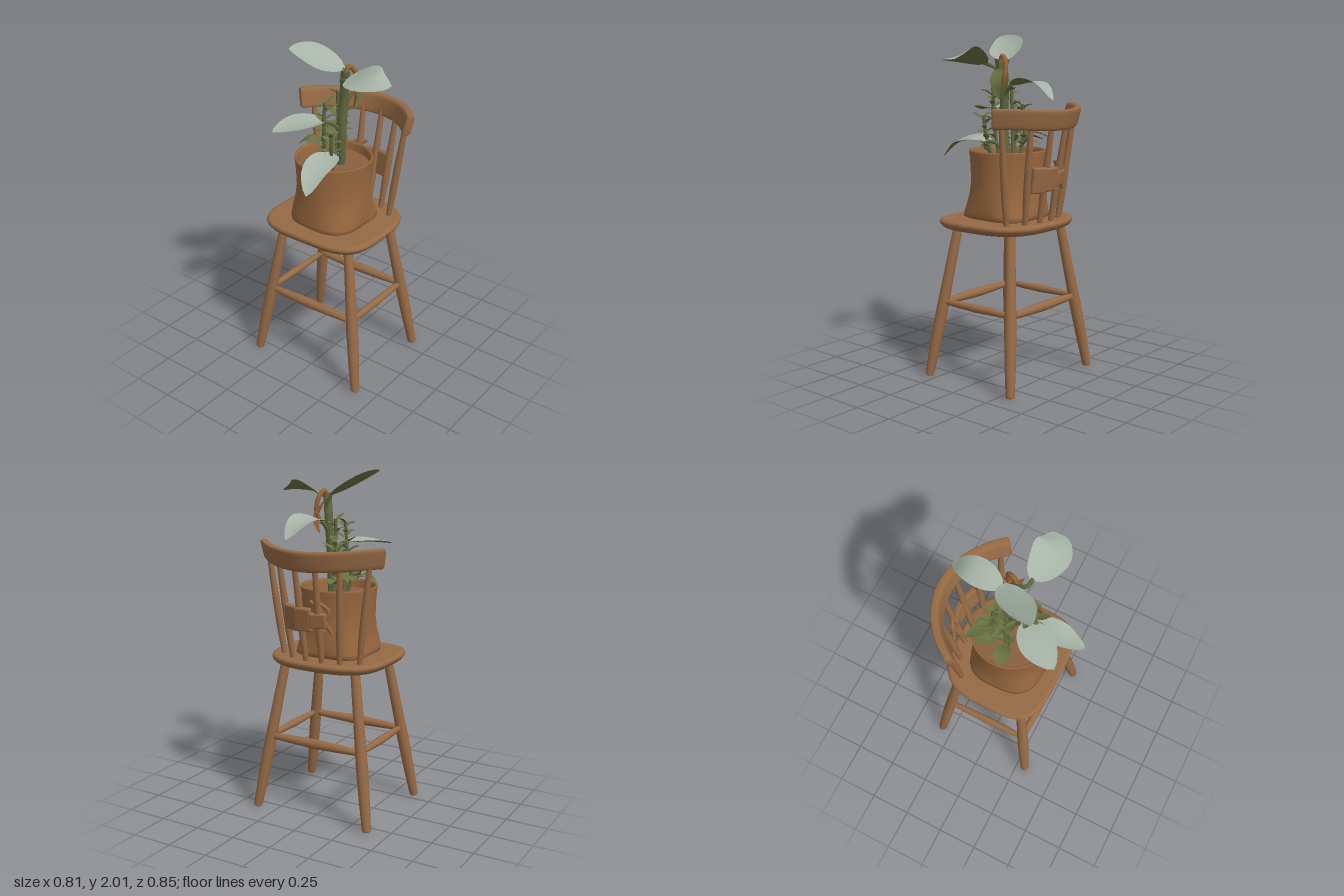
import * as THREE from 'three';
import { RoundedBoxGeometry } from 'three/addons/geometries/RoundedBoxGeometry.js';

const mat = (name, color) => {
  const m = new THREE.MeshStandardMaterial({ color });
  m.name = name;
  return m;
};
const V = (a) => new THREE.Vector3(...a);
const curve = (pts) => new THREE.CatmullRomCurve3(pts.map(V));
const spow = (c, e) => Math.sign(c) * Math.abs(c) ** e;

// Smooth grid surface from fn(u, v); it faces along dP/du x dP/dv
function grid(nu, nv, fn) {
  const pos = [], idx = [];
  for (let j = 0; j <= nv; j++)
    for (let i = 0; i <= nu; i++) pos.push(...fn(i / nu, j / nv, j));
  for (let j = 0; j < nv; j++)
    for (let i = 0; i < nu; i++) {
      const a = j * (nu + 1) + i, b = a + nu + 1;
      idx.push(a, a + 1, b, a + 1, b + 1, b);
    }
  const g = new THREE.BufferGeometry();
  g.setAttribute('position', new THREE.Float32BufferAttribute(pos, 3));
  g.setIndex(idx);
  g.computeVertexNormals();
  return g;
}

// Turned rod from a to b; profile is [fraction, radius]
function rod(a, b, profile) {
  const A = V(a), d = V(b).sub(A), len = d.length();
  const pts = profile.map(([t, r]) => new THREE.Vector2(r, t * len));
  const g = new THREE.LatheGeometry(pts, 16);
  g.applyQuaternion(new THREE.Quaternion().setFromUnitVectors(V([0, 1, 0]), d.normalize()));
  return g.translate(A.x, A.y, A.z);
}

// Thin leaf along a path: group 0 is the upper face, group 1 the underside
function leafGeometry(path, width, normal, cup = 0.15, n = 14) {
  const c = curve(path), N0 = V(normal).normalize();
  const layer = (flip, off) => grid(8, n, (u, v) => {
    const T = c.getTangent(v), side = T.clone().cross(N0).normalize();
    const N = side.clone().cross(T);
    const w = width * 0.5 * Math.max(Math.sin(Math.PI * v ** 0.85), 0) ** 0.7;
    const k = flip * (u * 2 - 1);
    return c.getPoint(v).addScaledVector(side, k * w)
      .addScaledVector(N, off + cup * w * (k * k - 0.4)).toArray();
  });
  const top = layer(1, 0.002), under = layer(-1, -0.002);
  const g = new THREE.BufferGeometry();
  for (const key of ['position', 'normal'])
    g.setAttribute(key, new THREE.Float32BufferAttribute(
      [...top.attributes[key].array, ...under.attributes[key].array], 3));
  const count = top.attributes.position.count, ti = [...top.index.array];
  g.setIndex([...ti, ...[...under.index.array].map((i) => i + count)]);
  g.addGroup(0, ti.length, 0);
  g.addGroup(ti.length, ti.length, 1);
  return g;
}

export function createModel() {
  const wood = mat('wood', 0x966a45), clay = mat('pot brown', 0x99683f), soil = mat('soil', 0x8a6040);
  const pale = mat('pale leaf', 0xa6b3a6), olive = mat('olive leaf', 0x697041);
  const stemGreen = mat('stem green', 0x5f6840), rust = mat('rust bud', 0x9a6438);
  const model = new THREE.Group();
  const chair = new THREE.Group(), plant = new THREE.Group();
  chair.name = 'chair';
  plant.name = 'pottedPlant';
  model.add(chair, plant);
  const add = (parent, name, geo, material) => {
    const m = new THREE.Mesh(geo, material);
    m.name = name;
    parent.add(m);
    return m;
  };

  // Seat: rounded slab, rounder at the back
  const seatRings = [[0, 0.89], [0.88, 0.89], [0.9, 0.891], [0.95, 0.9], [0.99, 0.918], [1, 0.93],
    [0.985, 0.941], [0.95, 0.946], [0.93, 0.946], [0, 0.944]];
  add(chair, 'seat', grid(72, seatRings.length - 1, (u, v, j) => {
    const [s, y] = seatRings[j], a = u * Math.PI * 2, c = Math.cos(a), z = -Math.sin(a);
    const e = 2 / (z > 0 ? 3.8 : 2.9);
    return [0.361 * s * spow(c, e), y, 0.33 * s * spow(z, e)];
  }), wood);
  add(chair, 'seatPeg', new THREE.CylinderGeometry(0.014, 0.01, 0.03, 10).translate(0, 0.88, 0.02), wood);

  // Splayed legs
  const legProfile = [[0, 0], [0, 0.02], [0.008, 0.026], [0.2, 0.032], [0.42, 0.035], [0.6, 0.032], [1, 0.027], [1, 0]];
  for (const sx of [-1, 1])
    for (const [name, z0, z1] of [['frontLeg', 0.305, 0.19], ['backLeg', -0.318, -0.205]])
      add(chair, name, rod([sx * 0.374, 0, z0], [sx * 0.232, 0.9, z1], legProfile), wood);

  // Four stretchers, thicker in the middle
  const bar = (r) => [[0, 0], [0, r * 0.6], [0.2, r * 0.8], [0.5, r], [0.8, r * 0.8], [1, r * 0.6], [1, 0]];
  for (const z of [0.247, -0.262])
    add(chair, 'crossStretcher', rod([-0.3, 0.444, z], [0.3, 0.444, z], bar(0.029)), wood);
  for (const x of [-0.303, 0.303])
    add(chair, 'sideStretcher', rod([x, 0.448, -0.26], [x, 0.448, 0.245], bar(0.024)), wood);

  // Curved top rail
  const railPath = curve([[-0.378, 1.55, -0.152], [-0.29, 1.548, -0.262], [-0.165, 1.54, -0.352], [0, 1.535, -0.392],
    [0.165, 1.54, -0.355], [0.285, 1.548, -0.275], [0.37, 1.55, -0.185]]);
  add(chair, 'topRail', grid(32, 40, (u, v, j) => {
    const s = j % 40 === 0 ? 0 : j === 1 || j === 39 ? 0.86 : 1;
    const t = j <= 1 ? 0 : j >= 39 ? 1 : THREE.MathUtils.clamp((j - 1.7) / 36.6, 0.008, 0.992);
    const p = railPath.getPoint(t), T = railPath.getTangent(t);
    const out = new THREE.Vector3(T.z, 0, -T.x).normalize(), a = u * Math.PI * 2;
    const b = spow(Math.sin(a), 0.42) * s;
    p.addScaledVector(out, 0.024 * s * spow(Math.cos(a), 0.42) + 0.014 * b);
    p.y += 0.058 * b;
    return p.toArray();
  }), wood);

  // Back spindles
  const spindle = [[0, 0.015], [0.3, 0.021], [0.55, 0.021], [1, 0.015]];
  for (const sx of [-1, 1])
    for (const [x0, z0, x1, z1] of [[0.25, -0.188, 0.325, -0.217], [0.155, -0.245, 0.195, -0.318], [0.052, -0.27, 0.066, -0.365]])
      add(chair, 'spindle', rod([sx * x0, 0.935, z0], [sx * x1, 1.51, z1], spindle), wood);

  // Worn bracket wedged between the middle spindles
  for (const [x, z, ry, h] of [[-0.06, -0.322, 0.2, 0.09], [0.03, -0.328, 0, 0.14], [0.115, -0.312, -0.3, 0.15]]) {
    const b = add(chair, 'backBracket', new RoundedBoxGeometry(0.1, h, 0.035, 2, 0.012), wood);
    b.position.set(x, 1.2, z);
    b.rotation.set(-0.15, ry, 0);
  }
  for (const x of [-0.1, -0.05])
    add(chair, 'bracketTwig', new THREE.TubeGeometry(curve([[x - 0.03, 1.13, -0.29], [x, 1.2, -0.31],
      [x - 0.02, 1.25, -0.3], [x + 0.04, 1.31, -0.33]]), 12, 0.011, 6), wood);

  // Soft pot: round at the rim, squarish with folds at the base
  const potRings = [[0, 0.945], [0.22, 0.945], [0.238, 0.955], [0.236, 0.98], [0.228, 1.03], [0.22, 1.09], [0.215, 1.16],
    [0.217, 1.24], [0.221, 1.3], [0.226, 1.335], [0.224, 1.344], [0.214, 1.344], [0.209, 1.33], [0.203, 1.27]];
  add(plant, 'pot', grid(64, potRings.length - 1, (u, v, j) => {
    const [r, y] = potRings[j], a = u * Math.PI * 2;
    const k = Math.max(0, 1 - (y - 0.945) / 0.2);
    const fold = k * (0.07 * -Math.cos(4 * a) + 0.03 * Math.sin(3 * a + 5 * k)) * Math.min(1, r * 5);
    const R = r * (1 + fold) + 0.003 * Math.sin(3 * a + 1);
    return [r && R * Math.cos(a) - 0.003, y, 0.014 - (r && R * Math.sin(a))];
  }), clay);
  add(plant, 'soil', new THREE.CircleGeometry(0.212, 32).rotateX(-Math.PI / 2).translate(-0.003, 1.29, 0.014), soil);

  // Stems and leaf stalks
  const stem = (pts, r, name = 'stem') =>
    add(plant, name, new THREE.TubeGeometry(curve(pts), 20, r, 8), stemGreen);
  stem([[0.03, 1.28, -0.01], [0.045, 1.5, 0], [0.05, 1.7, -0.01], [0.075, 1.87, 0.01]], 0.025, 'mainStem');
  stem([[0.07, 1.8, 0.0], [0.085, 1.83, 0.06], [0.13, 1.845, 0.07]], 0.011, 'leafStalk');
  stem([[0.06, 1.75, 0], [0.055, 1.82, -0.02], [0.03, 1.865, -0.02]], 0.011, 'leafStalk');
  stem([[0.05, 1.6, 0], [0.06, 1.69, -0.04], [0.07, 1.722, -0.08]], 0.011, 'leafStalk');
  stem([[0.04, 1.5, 0], [0.02, 1.56, 0.06], [0.0, 1.585, 0.11]], 0.011, 'leafStalk');
  stem([[0.04, 1.33, 0], [0.05, 1.38, 0.05], [0.06, 1.39, 0.1]], 0.011, 'leafStalk');

  // Large pale leaves: path, width, normal
  for (const [path, w, n] of [
    [[[0.115, 1.84, 0.06], [0.25, 1.885, 0.095], [0.34, 1.89, 0.09], [0.405, 1.868, 0.05]], 0.22, [-0.1, 1, 0.4]],
    [[[0.04, 1.862, -0.035], [-0.045, 1.915, 0.045], [-0.105, 1.955, 0.115], [-0.165, 1.995, 0.2]], 0.21, [0.55, 0.83, 0]],
    [[[0.06, 1.72, -0.07], [0.068, 1.748, -0.18], [0.08, 1.735, -0.29], [0.1, 1.645, -0.395]], 0.16, [-0.15, 1, 0]],
    [[[0.0, 1.585, 0.09], [-0.07, 1.588, 0.18], [-0.12, 1.578, 0.26], [-0.17, 1.558, 0.35]], 0.2, [0, 1, 0.05]],
    [[[0.06, 1.39, 0.08], [0.075, 1.405, 0.2], [0.09, 1.375, 0.32], [0.115, 1.28, 0.42]], 0.16, [0.15, 1, 0]],
  ]) add(plant, 'largeLeaf', leafGeometry(path, w, n), [pale, olive]);

  // Medium olive leaves near the rim
  for (const [path, w, n] of [
    [[[-0.02, 1.42, -0.07], [-0.08, 1.45, -0.11], [-0.175, 1.41, -0.19]], 0.09, [0, 1, 0]],
    [[[-0.04, 1.39, -0.03], [-0.12, 1.42, -0.07], [-0.17, 1.4, -0.13]], 0.08, [-0.2, 1, 0.1]],
    [[[-0.1, 1.39, 0.02], [-0.17, 1.41, 0.04], [-0.225, 1.37, 0.055]], 0.1, [0, 1, 0]],
    [[[-0.02, 1.36, -0.06], [-0.04, 1.4, -0.12], [-0.06, 1.38, -0.19]], 0.07, [0, 1, 0]],
  ]) add(plant, 'oliveLeaf', leafGeometry(path, w, n), [olive, olive]);

  // Young rust-tinted leaf and curled bud at the top
  add(plant, 'youngLeaf', leafGeometry([[0.085, 1.82, -0.02], [0.12, 1.74, -0.035], [0.11, 1.64, -0.02]], 0.11, [1, 0.2, -0.4], 0.4), [olive, rust]);
  add(plant, 'curledBud', new THREE.TubeGeometry(curve([[0.075, 1.84, 0], [0.075, 1.885, -0.015], [0.09, 1.86, -0.05],
    [0.105, 1.78, -0.06], [0.1, 1.72, -0.04]]), 20, 0.014, 8), rust);

  // Bushy shoots with small leaves spiralling up
  let seed = 7;
  const rand = () => (seed = (seed * 16807) % 2147483647) / 2147483647;
  for (const [pts, n] of [
    [[[0.0, 1.28, 0.07], [0.0, 1.5, 0.11], [0.01, 1.7, 0.11]], 16],
    [[[0.04, 1.28, 0.08], [0.06, 1.42, 0.12], [0.07, 1.54, 0.13]], 10],
    [[[-0.03, 1.28, -0.05], [-0.05, 1.45, -0.08], [-0.03, 1.61, -0.08]], 14],
    [[[-0.06, 1.28, 0.0], [-0.08, 1.4, 0.02], [-0.07, 1.53, 0.0]], 10],
    [[[0.01, 1.28, -0.04], [0.0, 1.5, -0.03], [0.0, 1.73, -0.02]], 12],
    [[[0.02, 1.28, 0.11], [0.01, 1.34, 0.15], [0.0, 1.36, 0.2]], 5],
  ]) {
    stem(pts, 0.01, 'shoot');
    const c = curve(pts);
    for (let i = 0; i < n; i++) {
      const p = c.getPoint(0.25 + 0.75 * (i + 0.5) / n), a = i * 2.4 + rand(), L = 0.055 + 0.035 * rand();
      const at = (f, h) => [p.x + Math.cos(a) * L * f, p.y + h * L, p.z + Math.sin(a) * L * f];
      add(plant, 'smallLeaf', leafGeometry([at(0, 0), at(0.5, 0.35), at(0.95, 0.3 + 0.3 * rand())],
        0.03 + 0.012 * rand(), [0, 1, 0], 0.3, 6), [olive, olive]);
    }
  }
  return model;
}
